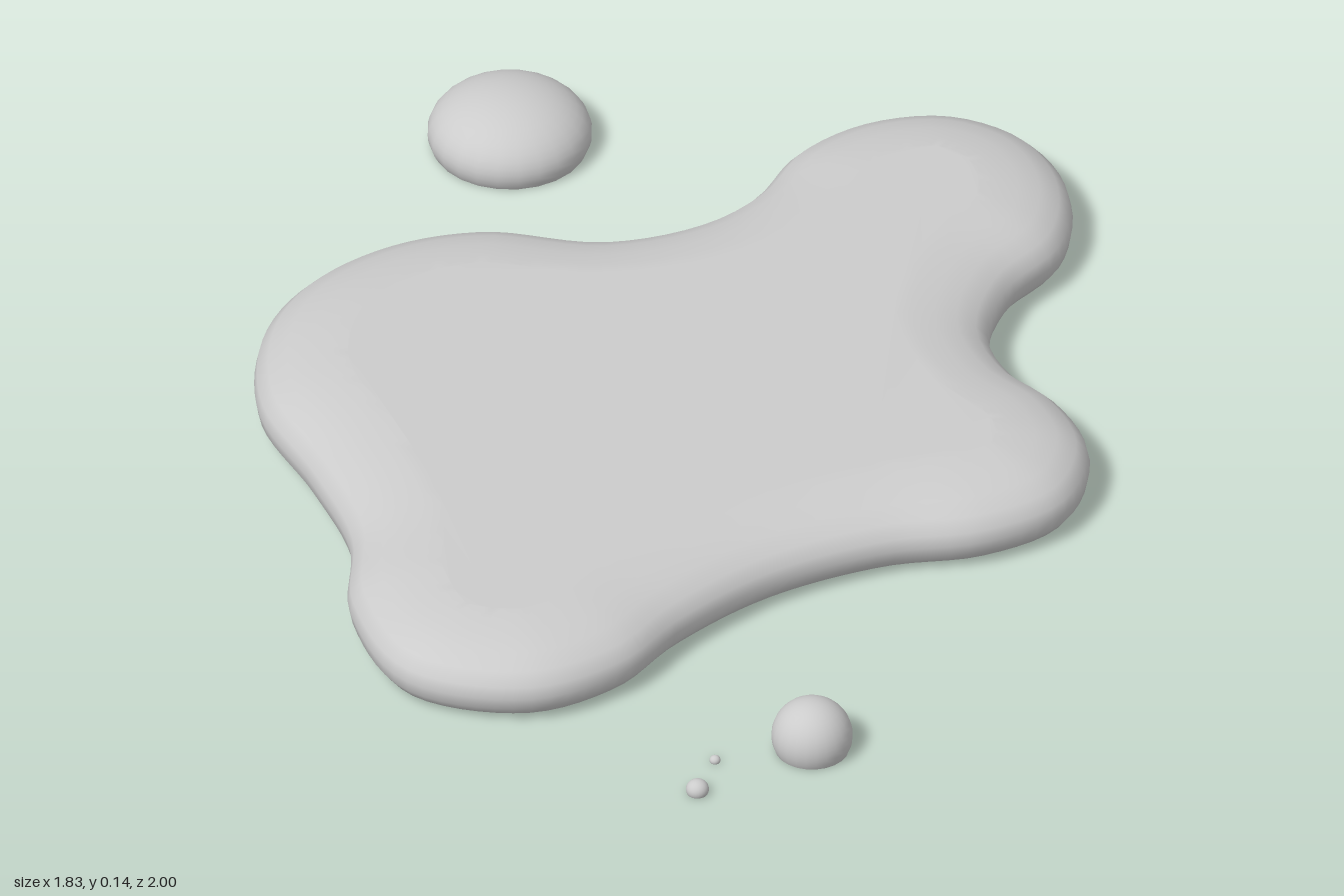
import * as THREE from 'three';

const material = new THREE.MeshStandardMaterial({ color: 0xcccccc, roughness: 0.6 });

// Puddle outline seen from above: x, z
const OUTLINE = [
  [0.01, -1], [0.13, -0.965], [0.225, -0.885], [0.285, -0.77], [0.29, -0.62], [0.355, -0.48], [0.46, -0.415],
  [0.585, -0.395], [0.72, -0.315], [0.785, -0.16], [0.73, 0], [0.61, 0.14], [0.51, 0.34],
  [0.47, 0.555], [0.47, 0.73], [0.39, 0.9], [0.18, 0.995], [-0.035, 0.89], [-0.16, 0.735],
  [-0.34, 0.62], [-0.55, 0.51], [-0.68, 0.34], [-0.715, 0.17], [-0.67, -0.015], [-0.56, -0.16],
  [-0.37, -0.27], [-0.27, -0.42], [-0.25, -0.555], [-0.275, -0.7], [-0.235, -0.85], [-0.13, -0.965],
];

// Rim cross-section from the ground up: inset, height
const RIM = [
  [0.045, 0], [0.018, 0.013], [0.004, 0.032], [0, 0.055], [0.005, 0.078], [0.025, 0.1],
  [0.06, 0.117], [0.1, 0.127], [0.14, 0.134], [0.17, 0.137],
];

function puddleGeometry(samples = 160) {
  const curve = new THREE.CatmullRomCurve3(
    OUTLINE.map(([x, z]) => new THREE.Vector3(x, 0, z)), true, 'centripetal');
  const edge = curve.getSpacedPoints(samples).slice(0, samples);
  const positions = [];
  const indices = [];

  // Each ring is the outline moved inward along its own normal
  const addRing = ([inset, y]) => {
    edge.forEach((p, i) => {
      const t = edge[(i + 3) % samples].clone().sub(edge[(i + samples - 3) % samples]).normalize();
      positions.push(p.x - t.z * inset, y, p.z + t.x * inset);
    });
  };
  RIM.forEach(addRing);
  for (let r = 0; r < RIM.length - 1; r++) {
    for (let i = 0; i < samples; i++) {
      const a = r * samples + i;
      const b = r * samples + (i + 1) % samples;
      indices.push(a, a + samples, b, b, a + samples, b + samples);
    }
  }

  // Flat caps, turned to face up or down
  const addCap = (start, up) => {
    const pts = edge.map((_, i) => new THREE.Vector2(
      positions[(start + i) * 3], positions[(start + i) * 3 + 2]));
    for (const [a, b, c] of THREE.ShapeUtils.triangulateShape(pts, [])) {
      const area = pts[b].clone().sub(pts[a]).cross(pts[c].clone().sub(pts[a]));
      if ((area < 0) === up) indices.push(start + a, start + b, start + c);
      else indices.push(start + a, start + c, start + b);
    }
  };
  addCap((RIM.length - 1) * samples, true);
  // The base has its own ring so its edge stays sharp
  addRing(RIM[0]);
  addCap(RIM.length * samples, false);

  const geometry = new THREE.BufferGeometry();
  geometry.setAttribute('position', new THREE.Float32BufferAttribute(positions, 3));
  geometry.setIndex(indices);
  geometry.computeVertexNormals();
  return geometry;
}

// Squashed ball cut flat where it meets the ground
function makeDroplet(name, x, z, radius, height, middle) {
  const group = new THREE.Group();
  group.name = name;
  const rise = height - middle;
  const cut = Math.acos(-middle / rise);
  const dome = new THREE.Mesh(new THREE.SphereGeometry(1, 24, 14, 0, Math.PI * 2, 0, cut), material);
  dome.name = name + 'Dome';
  dome.scale.set(radius, rise, radius);
  dome.position.y = middle;
  const base = new THREE.Mesh(new THREE.CircleGeometry(radius * Math.sin(cut), 24), material);
  base.name = name + 'Base';
  base.rotation.x = Math.PI / 2;
  group.add(dome, base);
  group.position.set(x, 0, z);
  return group;
}

export function createModel() {
  const model = new THREE.Group();
  model.name = 'spill';
  const puddle = new THREE.Mesh(puddleGeometry(), material);
  puddle.name = 'puddle';
  model.add(
    puddle,
    makeDroplet('largeDroplet', -0.767, -0.49, 0.15, 0.117, 0.03),
    makeDroplet('mediumDroplet', 0.836, 0.638, 0.074, 0.102, 0.03),
    makeDroplet('smallDroplet', 0.76, 0.876, 0.021, 0.027, 0.008),
    makeDroplet('tinyDroplet', 0.725, 0.781, 0.01, 0.013, 0.004),
  );
  return model;
}
